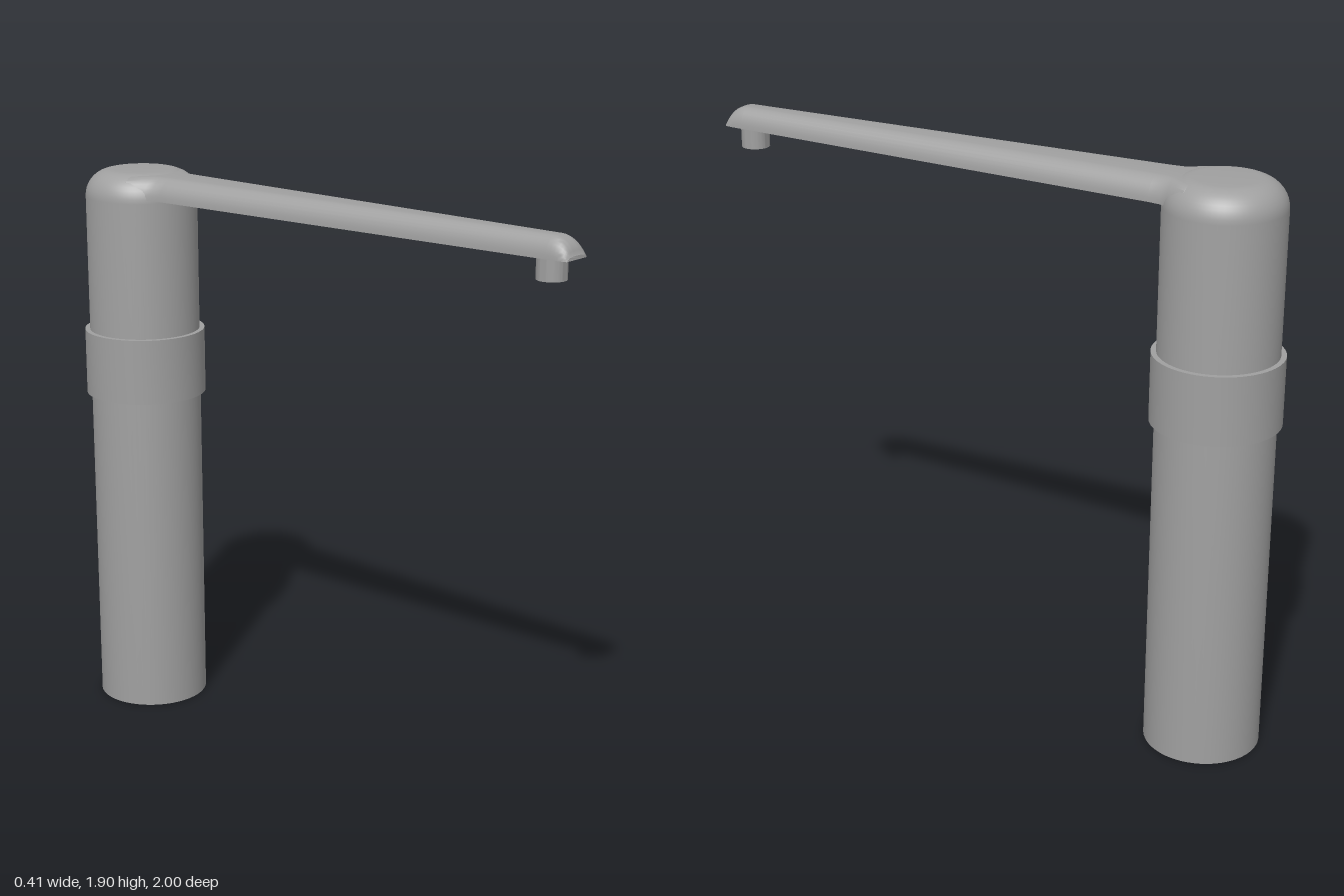
import * as THREE from 'three';
import { toCreasedNormals } from 'three/addons/utils/BufferGeometryUtils.js';

const COLUMN_Z = -0.793;

// Revolve a list of [radius, height] pairs, keeping hard edges sharp
function revolve(points, material, name, z) {
  const profile = points.map(([r, y]) => new THREE.Vector2(r, y));
  const geometry = toCreasedNormals(new THREE.LatheGeometry(profile, 64), 0.6);
  const mesh = new THREE.Mesh(geometry, material);
  mesh.name = name;
  mesh.position.z = z;
  return mesh;
}

// Tapered spout: flat underside, rounded top edges, rounded nose
function spoutGeometry() {
  // [z, half width, height above underside]
  const stations = [
    [-0.79, 0.11, 0.074], [-0.72, 0.165, 0.074], [-0.68, 0.142, 0.074],
    [-0.655, 0.123, 0.074], [-0.63, 0.112, 0.073], [-0.59, 0.108, 0.073],
  ];
  const noseZ = 0.925, noseLength = 0.07, noseHeight = 0.067;
  for (let k = 0; k <= 8; k++) {
    const a = (k / 8) * Math.PI / 2;
    stations.push([
      noseZ + noseLength * Math.sin(a),
      0.057 - 0.008 * (1 - Math.cos(a)),
      Math.max(0.012, noseHeight * Math.cos(a)),
    ]);
  }
  const steps = 8, positions = [], index = [];
  for (const [z, w, h] of stations) {
    const bottom = 1.823 + 0.008 * (z + 0.8) / 1.8;
    const r = Math.min(0.062, w * 0.75);
    for (const side of [1, -1]) {
      for (let k = 0; k <= steps; k++) {
        const a = ((side > 0 ? k : steps - k) / steps) * Math.PI / 2;
        positions.push(side * (w - r + r * Math.cos(a)), bottom + h * Math.sin(a), z);
      }
    }
  }
  const n = 2 * (steps + 1);
  for (let s = 0; s < stations.length - 1; s++) {
    for (let i = 0; i < n; i++) {
      const a = s * n + i, b = s * n + (i + 1) % n;
      index.push(a, b, a + n, b, b + n, a + n);
    }
  }
  // Nose cap
  const last = (stations.length - 1) * n;
  for (let i = 1; i < n - 1; i++) index.push(last, last + i, last + i + 1);
  const geometry = new THREE.BufferGeometry();
  geometry.setAttribute('position', new THREE.Float32BufferAttribute(positions, 3));
  geometry.setIndex(index);
  return toCreasedNormals(geometry, 0.7);
}

export function createModel() {
  const group = new THREE.Group();
  group.name = 'faucet';
  const metal = new THREE.MeshStandardMaterial({ color: 0xa0a0a0 });
  metal.name = 'grey metal';

  // Column with a rounded shoulder
  const column = [[0, 0], [0.19, 0]];
  for (let k = 0; k <= 10; k++) {
    const a = (k / 10) * Math.PI / 2;
    column.push([0.1 + 0.09 * Math.cos(a), 1.813 + 0.09 * Math.sin(a)]);
  }
  column.push([0, 1.903]);
  group.add(revolve(column, metal, 'column', COLUMN_Z));

  // Collar around the column
  group.add(revolve([[0.185, 1.125], [0.207, 1.125], [0.207, 1.35], [0.185, 1.35]],
    metal, 'collar', COLUMN_Z));

  // Spout and its outlet
  const spout = new THREE.Mesh(spoutGeometry(), metal);
  spout.name = 'spout';
  group.add(spout);
  group.add(revolve([[0, 1.762], [0.047, 1.762], [0.047, 1.84]], metal, 'outlet', 0.91));

  return group;
}
